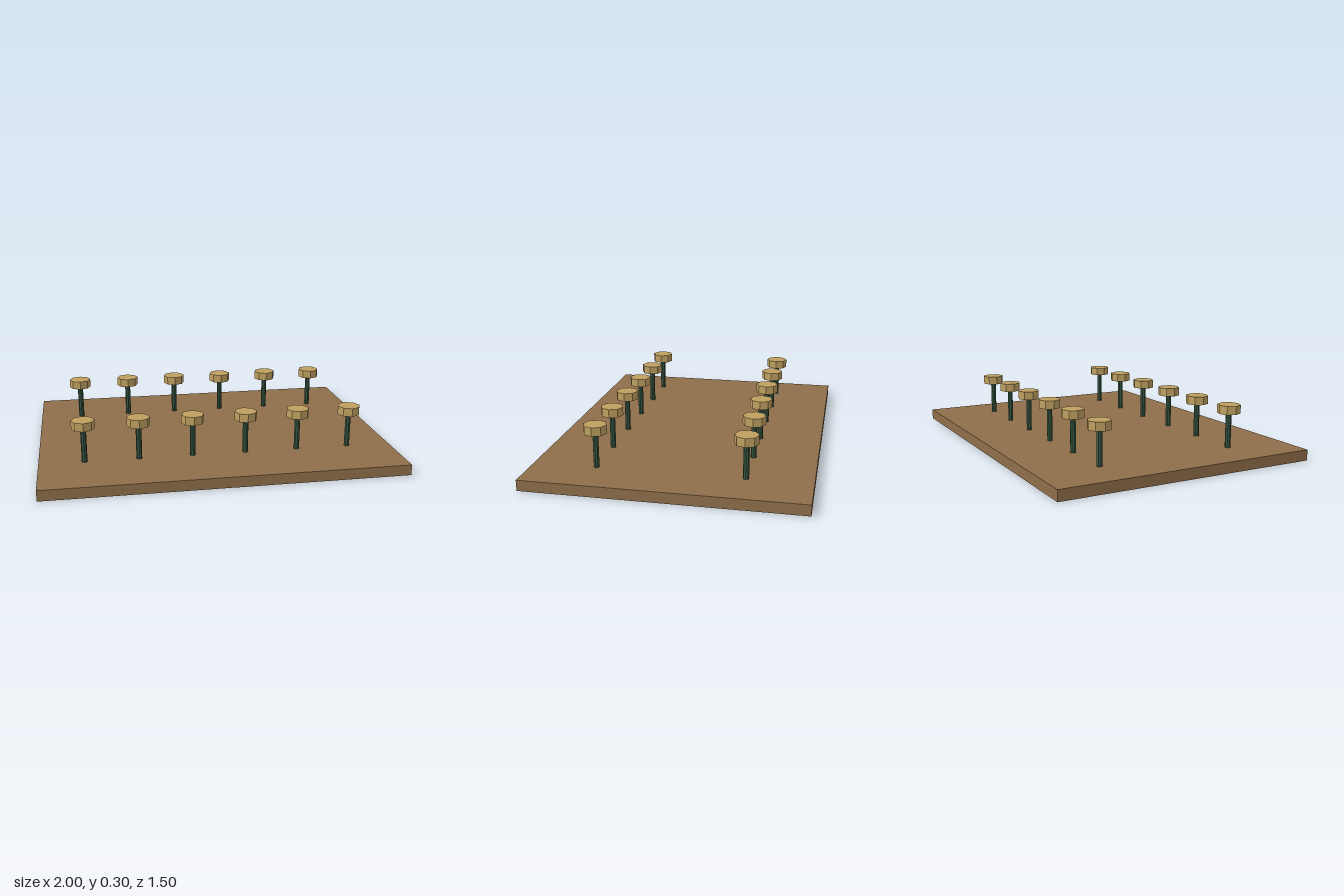
import * as THREE from 'three';

const material = (color) => new THREE.MeshStandardMaterial({ color, flatShading: true });

export function createModel() {
  const model = new THREE.Group();
  const add = (parent, name, geometry, mat, y) => {
    const mesh = new THREE.Mesh(geometry, mat);
    mesh.name = name;
    mesh.position.y = y;
    parent.add(mesh);
  };

  // Flat board
  add(model, 'board', new THREE.BoxGeometry(2, 0.06, 1.5), material(0x8f6f4a), 0.03);

  // Shared peg parts: thin stem under an eight-sided cap
  const stem = new THREE.CylinderGeometry(0.016, 0.016, 0.195, 8);
  const cap = new THREE.CylinderGeometry(0.064, 0.064, 0.048, 8);
  const stemMaterial = material(0x355540);
  const capMaterial = material(0xbfa060);

  // Two rows of six pegs
  for (const z of [-0.4, 0.4]) {
    for (let i = 0; i < 6; i++) {
      const peg = new THREE.Group();
      peg.name = 'peg';
      peg.position.set(-0.75 + i * 0.3, 0, z);
      add(peg, 'stem', stem, stemMaterial, 0.1575);
      add(peg, 'cap', cap, capMaterial, 0.277);
      model.add(peg);
    }
  }
  return model;
}
